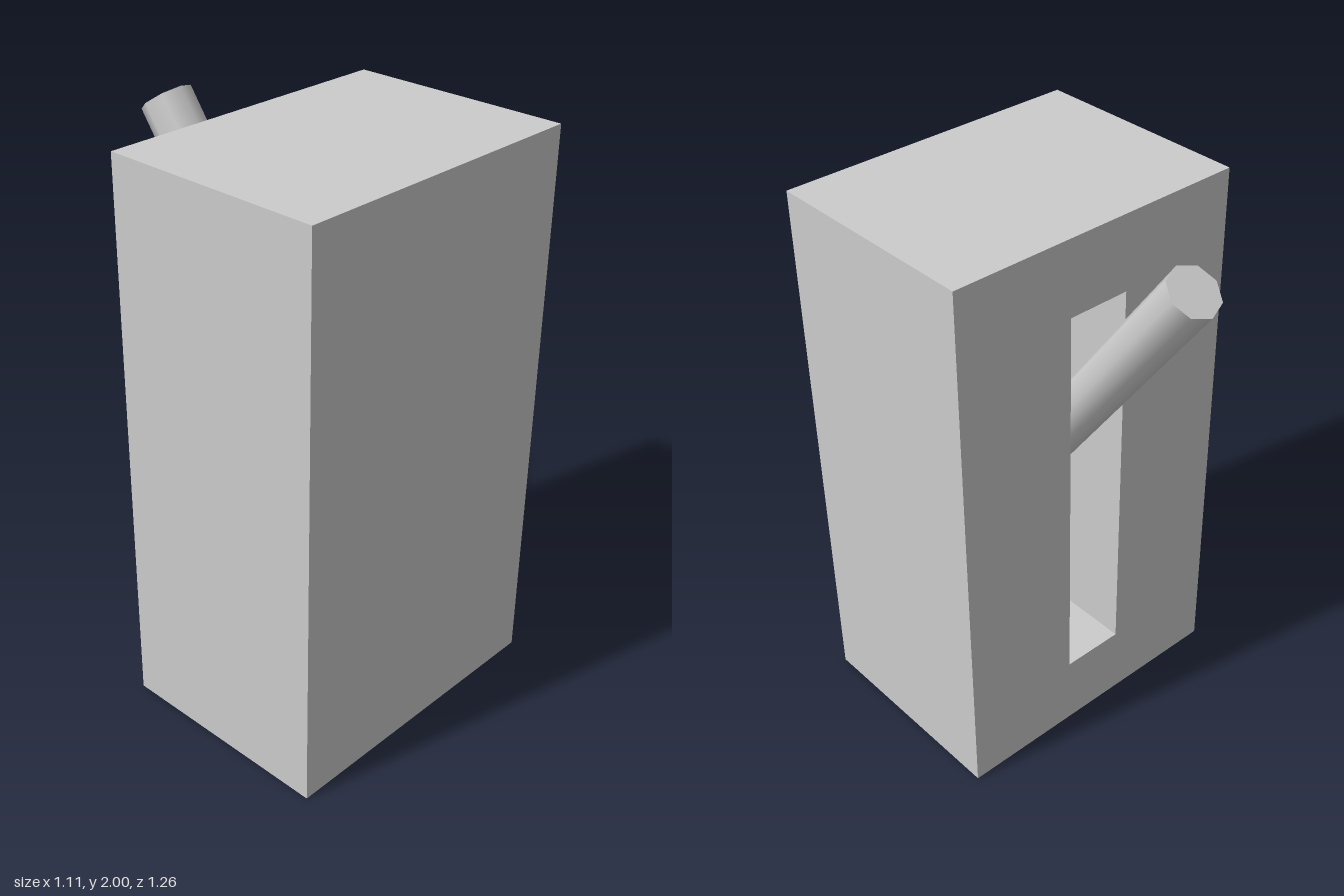
import * as THREE from 'three';
import { mergeGeometries } from 'three/addons/utils/BufferGeometryUtils.js';

const W = 1.11, H = 2, D = 0.8, BACK = -0.17; // housing
const SLOT_W = 0.23, SLOT_H = 1.46, SLOT_D = 0.45; // recess in the back face

// Box without its back (-z) face, that face lying at z = BACK; inward turns it inside out
function openBox(w, h, d, inward) {
  const g = new THREE.BoxGeometry(w, h, d).translate(0, H / 2, BACK + d / 2);
  const index = Array.from(g.index.array).slice(0, 30);
  g.setIndex(inward ? index.reverse() : index);
  if (inward) {
    const n = g.attributes.normal;
    for (let i = 0; i < n.count; i++) n.setXYZ(i, -n.getX(i), -n.getY(i), -n.getZ(i));
  }
  return g;
}

// Centred rectangle outline
function rectangle(path, w, h) {
  return path.moveTo(-w / 2, -h / 2).lineTo(w / 2, -h / 2).lineTo(w / 2, h / 2).lineTo(-w / 2, h / 2).closePath();
}

export function createModel() {
  const group = new THREE.Group();
  group.name = 'leverSwitch';
  const material = new THREE.MeshStandardMaterial({ color: 0xcccccc });

  // Housing: outer shell, back face with a slot opening, and the slot walls
  const backShape = rectangle(new THREE.Shape(), W, H);
  backShape.holes.push(rectangle(new THREE.Path(), SLOT_W, SLOT_H));
  const backFace = new THREE.ShapeGeometry(backShape).rotateY(Math.PI).translate(0, H / 2, BACK);
  const housing = new THREE.Mesh(
    mergeGeometries([openBox(W, H, D, false), backFace, openBox(SLOT_W, SLOT_H, SLOT_D, true)]),
    material
  );
  housing.name = 'housing';
  group.add(housing);

  // Lever: eight-sided rod leaning back and up out of the slot
  const length = 1.25, lean = 0.627;
  const lever = new THREE.Mesh(new THREE.CylinderGeometry(0.091, 0.091, length, 8), material);
  lever.name = 'lever';
  lever.rotation.x = -lean;
  lever.position.set(0.004, 1.947 - Math.cos(lean) * length / 2, -0.555 + Math.sin(lean) * length / 2);
  group.add(lever);

  return group;
}
